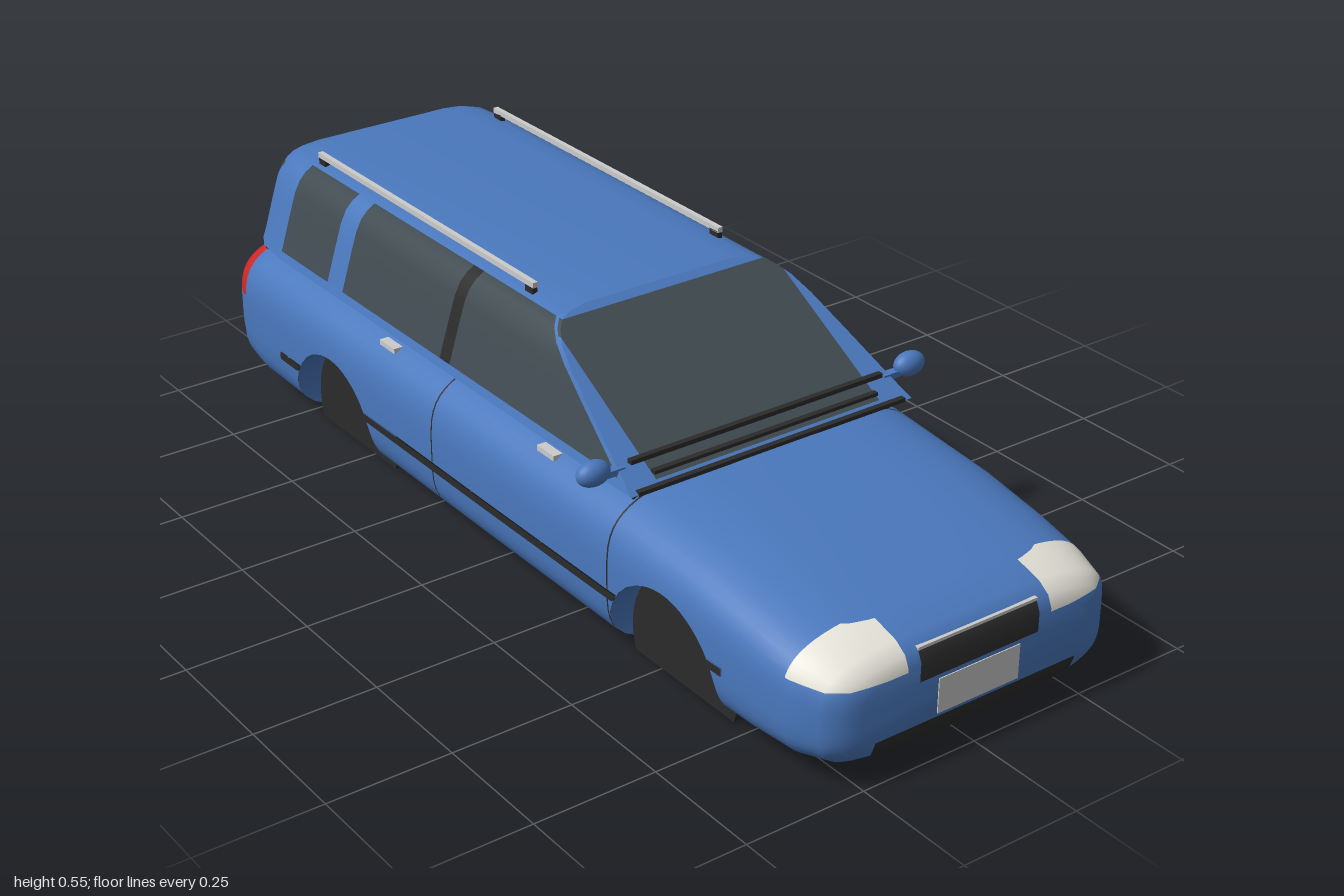
import * as THREE from 'three';
import { toCreasedNormals } from 'three/addons/utils/BufferGeometryUtils.js';

const mat = (color, side = THREE.FrontSide) => new THREE.MeshStandardMaterial({ color, side });
const PAINT = mat(0x4a78bd), GLASS = mat(0x3f4a50), DARK = mat(0x2b2b2b), GREY = mat(0xcccccc);
const WHITE = mat(0xe6e4da), RED = mat(0xcc2828), LIP = mat(0x4a78bd, THREE.DoubleSide);

// Joins closed rings (counter-clockwise seen from +z, ordered front to back) into
// a capped skin, returned as polygons whose corners are [x, y, z, nx, ny, nz].
function loft(rings, crease) {
  const pos = [], n = rings[0].length, last = rings.length - 1;
  const tri = (a, b, c) => pos.push(...a, ...b, ...c);
  for (let i = 0; i < last; i++) {
    for (let j = 0; j < n; j++) {
      const k = (j + 1) % n, [p, q] = [rings[i], rings[i + 1]];
      tri(p[j], q[j], q[k]);
      tri(p[j], q[k], p[k]);
    }
  }
  for (let j = 1; j < n - 1; j++) {
    tri(rings[0][0], rings[0][j], rings[0][j + 1]);
    tri(rings[last][0], rings[last][j + 1], rings[last][j]);
  }
  let geo = new THREE.BufferGeometry();
  geo.setAttribute('position', new THREE.Float32BufferAttribute(pos, 3));
  geo = toCreasedNormals(geo, crease);
  const P = geo.attributes.position, N = geo.attributes.normal, polys = [];
  const t = new THREE.Triangle();
  for (let i = 0; i < P.count; i += 3) {
    t.setFromAttributeAndIndices(P, i, i + 1, i + 2);
    if (t.getArea() < 1e-9) continue;
    polys.push([i, i + 1, i + 2].map(v =>
      [P.getX(v), P.getY(v), P.getZ(v), N.getX(v), N.getY(v), N.getZ(v)]));
  }
  return polys;
}

// Cuts one polygon by a plane [a, b, c, d]; inside is ax + by + cz <= d.
function cut(poly, [a, b, c, d]) {
  const inside = [], outside = [];
  const dist = v => a * v[0] + b * v[1] + c * v[2] - d;
  poly.forEach((v, i) => {
    const w = poly[(i + 1) % poly.length], dv = dist(v), dw = dist(w);
    (dv <= 0 ? inside : outside).push(v);
    if (dv <= 0 !== dw <= 0) {
      const m = v.map((e, k) => e + (w[k] - e) * dv / (dv - dw));
      inside.push(m);
      outside.push(m);
    }
  });
  return [inside, outside];
}

// Separates a skin into what lies inside a convex region and what is left.
function split(polys, planes) {
  const inside = [], outside = [];
  for (const poly of polys) {
    let rest = poly;
    const scraps = [];
    for (const p of planes) {
      const [i, o] = cut(rest, p);
      if (o.length > 2) scraps.push(o);
      rest = i;
      if (rest.length < 3) break;
    }
    if (rest.length < 3) outside.push(poly);
    else { inside.push(rest); outside.push(...scraps); }
  }
  return [inside, outside];
}

const range = (x0, x1, y0, y1, z0, z1) =>
  [[-1, 0, 0, -x0], [1, 0, 0, x1], [0, -1, 0, -y0], [0, 1, 0, y1], [0, 0, -1, -z0], [0, 0, 1, z1]];
const mirrored = planes => planes.map(([a, b, c, d]) => [-a, b, c, d]);

function skinMesh(name, polys, material) {
  const pos = [], nor = [];
  for (const p of polys) for (let i = 1; i < p.length - 1; i++)
    for (const v of [p[0], p[i], p[i + 1]]) { pos.push(...v.slice(0, 3)); nor.push(...v.slice(3)); }
  const geo = new THREE.BufferGeometry();
  geo.setAttribute('position', new THREE.Float32BufferAttribute(pos, 3));
  geo.setAttribute('normal', new THREE.Float32BufferAttribute(nor, 3));
  const mesh = new THREE.Mesh(geo, material);
  mesh.name = name;
  return mesh;
}

// Lower body stations: z, half width, bottom, top
const STATIONS = [
  [1, 0.26, 0.07, 0.215], [0.99, 0.298, 0.05, 0.237], [0.965, 0.325, 0.032, 0.254], [0.9, 0.343, 0.016, 0.272],
  [0.8, 0.351, 0.009, 0.293], [0.65, 0.357, 0.005, 0.318], [0.4, 0.363, 0.002, 0.338], [0, 0.365, 0.002, 0.343],
  [-0.6, 0.365, 0.002, 0.345], [-0.88, 0.363, 0.006, 0.345], [-0.94, 0.358, 0.018, 0.341],
  [-0.97, 0.345, 0.034, 0.327], [-0.983, 0.32, 0.055, 0.302]];
const POWER = 3.8;

// Half width of the lower body at a height and station
function halfWidth(y, z) {
  const i = Math.max(1, STATIONS.findIndex(s => s[0] <= z));
  const [p, q] = [STATIONS[i - 1], STATIONS[i]], t = (z - p[0]) / (q[0] - p[0]);
  const [, w, b, h] = p.map((e, k) => e + (q[k] - e) * t);
  const v = Math.min(1, Math.abs((y - (b + h) / 2) / ((h - b) / 2)));
  return w * (1 - v ** POWER) ** (1 / POWER);
}

export function createModel() {
  const car = new THREE.Group();
  car.name = 'stationWagon';
  const add = (name, geo, material, x = 0, y = 0, z = 0) => {
    const m = new THREE.Mesh(geo, material);
    m.name = name;
    m.position.set(x, y, z);
    car.add(m);
    return m;
  };
  const box = (name, material, w, h, d, x, y, z) => add(name, new THREE.BoxGeometry(w, h, d), material, x, y, z);

  // Lower body skin
  const pow = v => Math.sign(v) * Math.abs(v) ** (2 / POWER);
  let body = loft(STATIONS.map(([z, w, b, t]) => Array.from({ length: 56 }, (_, i) => {
    const a = (i + 0.5) / 56 * Math.PI * 2;
    return [w * pow(Math.cos(a)), (b + t) / 2 + (t - b) / 2 * pow(Math.sin(a)), z];
  })), 0.9);
  const onBody = (name, material, planes, push = 0) => {
    const [inside, rest] = split(body, planes);
    body = rest;
    if (material) car.add(skinMesh(name, inside.map(p =>
      p.map(v => [v[0] + Math.sign(v[0]) * push, ...v.slice(1)])), material));
  };

  // Wheel arches cut out of the sides, with painted lip and dark liner
  const R = 0.155, CY = 0.06;
  for (const cz of [0.57, -0.56]) {
    const planes = [[-1, 0, 0, -0.3]];
    for (let i = 0; i < 32; i++) {
      const a = i / 32 * Math.PI * 2, c = Math.cos(a), s = Math.sin(a);
      planes.push([0, s, c, R + s * CY + c * cz]);
    }
    const low = Math.asin((0.006 - CY) / R);
    const shape = new THREE.Shape().absarc(0, CY, R, low, Math.PI - low);
    for (const side of [1, -1]) {
      onBody('archOpening', null, side > 0 ? planes : mirrored(planes));
      const liner = add('wheelArchLiner', new THREE.ExtrudeGeometry(shape,
        { depth: 0.1, bevelEnabled: false, curveSegments: 32 }), DARK, side > 0 ? 0.205 : -0.305, 0, cz);
      liner.rotation.y = Math.PI / 2;
      const lip = new THREE.PlaneGeometry(1, 1, 32, 1), p = lip.attributes.position;
      for (let i = 0; i < p.count; i++) {
        const a = low + (p.getX(i) + 0.5) * (Math.PI - 2 * low);
        const y = CY + R * Math.sin(a), z = cz + R * Math.cos(a);
        p.setXYZ(i, side * (p.getY(i) > 0 ? halfWidth(y, z) : 0.3), y, z);
      }
      lip.computeVertexNormals();
      add('wheelArchLip', lip, LIP);
    }
  }

  // Lamps, side mouldings, door seams and sills on both sides
  const pair = (name, material, planes, push) => {
    onBody(name, material, planes, push);
    onBody(name, material, mirrored(planes), push);
  };
  pair('headlight', WHITE, range(0.163, 1, 0.205, 0.267, 0.89, 2));
  pair('tailLight', RED, range(0.215, 1, 0.22, 1, -2, -0.925));
  pair('sideMoulding', DARK, range(0.2, 1, 0.133, 0.149, -0.77, 0.74), 0.003);
  for (const z of [0.415, -0.17]) pair('doorSeam', DARK, range(0.2, 1, 0.03, 1, z - 0.002, z + 0.002));
  pair('sill', DARK, range(0.23, 1, -1, 0.036, -0.93, 0.975));
  onBody('rearBumperTrim', DARK, range(-1, 1, -1, 0.058, -2, -0.93));
  onBody('grille', DARK, range(-0.135, 0.135, 0.175, 0.235, 0.95, 2));
  onBody('lowerIntake', DARK, range(-0.23, 0.23, 0.036, 0.09, 0.9, 2));
  car.add(skinMesh('lowerBody', body, PAINT));

  // Cabin: side profile levels [height, half width]; the windscreen truncates it
  const LEVELS = [[0.336, 0.327], [0.36, 0.318], [0.43, 0.296], [0.475, 0.281], [0.5, 0.268],
    [0.516, 0.252], [0.526, 0.235], [0.532, 0.212], [0.536, 0.17]];
  const slope = (0.44 - 0.08) / 0.2;
  const ring = (z, top, s = 1) => {
    const half = LEVELS.map((_, k) => LEVELS[Math.min(k, top)])
      .map(([y, w]) => [w * s, 0.435 + (y - 0.435) * s, z]);
    return [...half, ...half.map(([x, y]) => [-x, y, z]).reverse()];
  };
  const top = LEVELS.length - 1;
  let cabin = loft([
    ...LEVELS.map(([y], k) => ring(0.44 - (y - 0.336) * slope, k)),
    ring(-0.82, top), ring(-0.9, top, 0.98), ring(-0.93, top, 0.93), ring(-0.947, top, 0.84)], 0.5);
  const onCabin = (name, material, planes) => {
    const [inside, rest] = split(cabin, planes);
    cabin = rest;
    car.add(skinMesh(name, inside, material));
  };
  const behindScreen = [0, slope, 1, 0.44 + 0.336 * slope - 0.02];
  const sideGlass = [['frontSideWindow', -0.165, 0.5, GLASS], ['doorPillar', -0.2, -0.165, DARK],
    ['rearSideWindow', -0.57, -0.2, GLASS], ['cargoWindow', -0.82, -0.63, GLASS]];
  for (const [name, z0, z1, material] of sideGlass) {
    const planes = [...range(0.2, 1, 0.352, 0.526, z0, z1), behindScreen];
    onCabin(name, material, planes);
    onCabin(name, material, mirrored(planes));
  }
  onCabin('windscreen', GLASS, [...range(-0.26, 0.26, 0.345, 0.526, 0.08, 1),
    [0, -slope, -1, -(0.44 + 0.336 * slope) + 0.01]]);
  onCabin('rearWindow', GLASS, range(-0.255, 0.255, 0.372, 0.505, -2, -0.915));
  car.add(skinMesh('cabin', cabin, PAINT));
  box('waistSeal', DARK, 0.6, 0.04, 1.34, 0, 0.328, -0.26);

  // Wipers and cowl strip
  box('wiperBar', DARK, 0.585, 0.009, 0.012, 0, 0.375, 0.388);
  box('wiperBar', DARK, 0.52, 0.007, 0.012, 0, 0.356, 0.414);
  box('cowlStrip', DARK, 0.62, 0.008, 0.012, 0, 0.338, 0.436);

  // Mirrors, roof rails and door handles
  for (const s of [1, -1]) {
    add('mirror', new THREE.SphereGeometry(1, 24, 16), PAINT, s * 0.368, 0.374, 0.383).scale.set(0.035, 0.025, 0.022);
    box('mirrorStalk', PAINT, 0.05, 0.012, 0.018, s * 0.327, 0.362, 0.38);
    box('roofRail', GREY, 0.011, 0.011, 0.8, s * 0.218, 0.548, -0.415);
    for (const z of [-0.03, -0.8]) box('railFoot', DARK, 0.011, 0.022, 0.025, s * 0.218, 0.534, z);
    for (const z of [0.17, -0.38])
      box('doorHandle', GREY, 0.02, 0.011, 0.055, s * (halfWidth(0.307, z) + 0.002), 0.307, z);
  }

  // Plates, bright strips and exhaust
  box('frontPlate', GREY, 0.185, 0.07, 0.008, 0, 0.132, 0.998);
  box('grilleStrip', GREY, 0.272, 0.006, 0.02, 0, 0.237, 0.982);
  box('rearPlate', GREY, 0.185, 0.07, 0.008, 0, 0.175, -0.985);
  box('tailgateStrip', GREY, 0.27, 0.012, 0.012, 0, 0.248, -0.986);
  add('exhaust', new THREE.CylinderGeometry(0.012, 0.012, 0.07, 20), GREY, 0.19, 0.034, -0.965).rotation.x = Math.PI / 2;
  return car;
}
